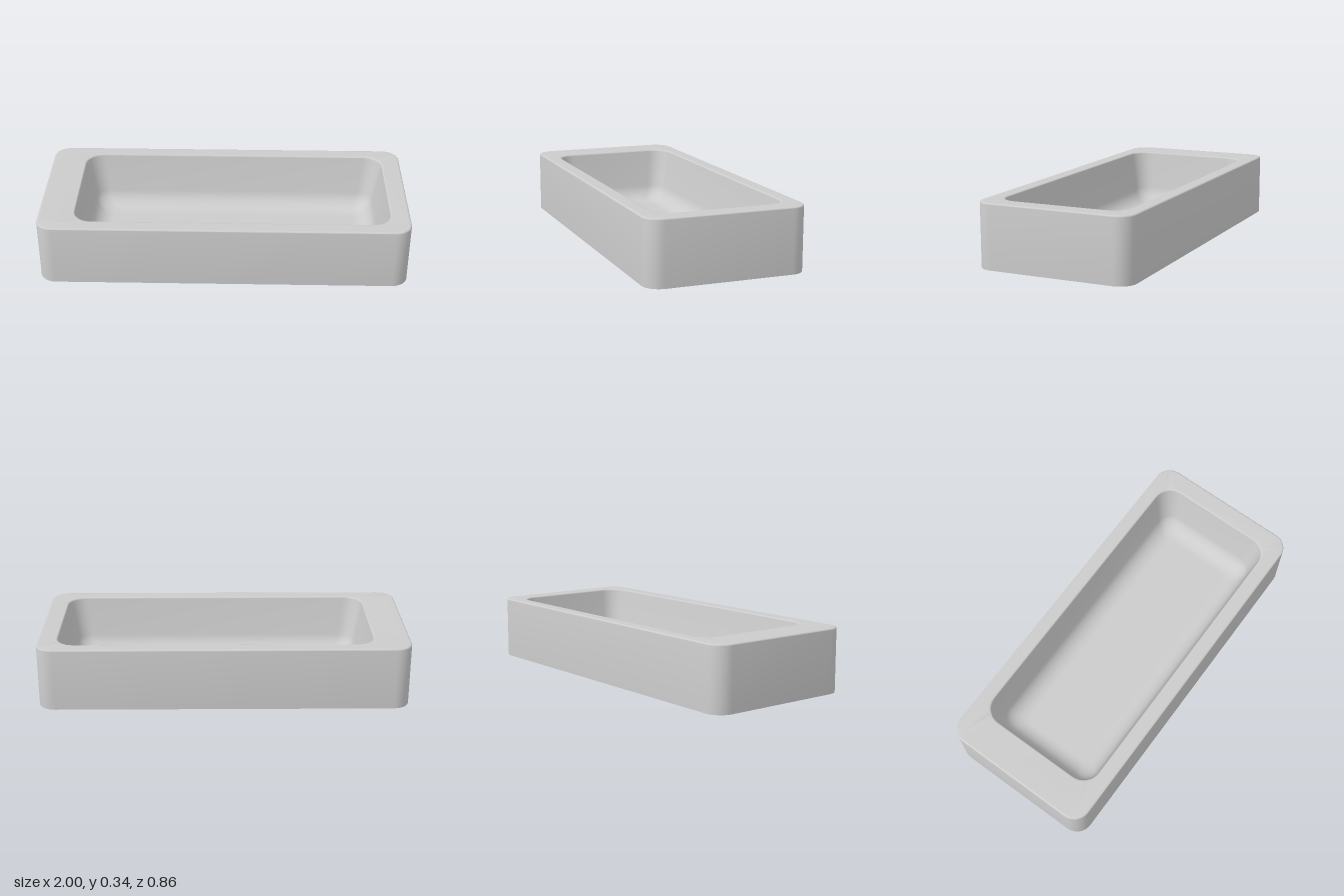
import * as THREE from 'three';
import { toCreasedNormals } from 'three/addons/utils/BufferGeometryUtils.js';

const CORNER = 8; // segments per rounded corner
const OUTER = { x0: -1, x1: 1, z0: -0.43, z1: 0.43, r: 0.09 };
const BASIN = { x0: -0.805, x1: 0.895, z0: -0.353, z1: 0.348, r: 0.1 };
const HEIGHT = 0.345, FLOOR = 0.04;

// Rounded rectangle at height y, moved inwards by inset
function ring(box, inset, y) {
  const r = box.r - inset * 0.4;
  const x0 = box.x0 + inset + r, x1 = box.x1 - inset - r;
  const z0 = box.z0 + inset + r, z1 = box.z1 - inset - r;
  const centres = [[x1, z1], [x0, z1], [x0, z0], [x1, z0]];
  return centres.flatMap(([cx, cz], k) => Array.from({ length: CORNER + 1 }, (_, i) => {
    const a = (k + i / CORNER) * Math.PI / 2;
    return [cx + r * Math.cos(a), y, cz + r * Math.sin(a)];
  }));
}

// Ring shrunk to one point, closing a flat end
function centre(box, y) {
  return Array.from({ length: 4 * (CORNER + 1) }, () => [(box.x0 + box.x1) / 2, y, (box.z0 + box.z1) / 2]);
}

// Skin joining successive rings, the first and last being single points
function loft(rings) {
  const n = rings[0].length, index = [];
  for (let i = 0; i < rings.length - 1; i++) {
    for (let j = 0; j < n; j++) {
      const a = i * n + j, b = i * n + (j + 1) % n;
      if (i > 0) index.push(a, a + n, b);
      if (i < rings.length - 2) index.push(b, a + n, b + n);
    }
  }
  const geometry = new THREE.BufferGeometry();
  geometry.setAttribute('position', new THREE.Float32BufferAttribute(rings.flat(2), 3));
  geometry.setIndex(index);
  return toCreasedNormals(geometry, THREE.MathUtils.degToRad(40));
}

export function createModel() {
  const group = new THREE.Group();
  group.name = 'basin';
  const rings = [centre(OUTER, 0), ring(OUTER, 0, 0)];

  // Small rounding on the outer top edge
  const edge = 0.008;
  for (let i = 0; i <= 4; i++) {
    const a = i / 4 * Math.PI / 2;
    rings.push(ring(OUTER, edge * (1 - Math.cos(a)), HEIGHT - edge * (1 - Math.sin(a))));
  }

  // Flat rim
  const lip = 0.008;
  rings.push(ring(OUTER, edge + 0.004, HEIGHT), ring(BASIN, -lip - 0.004, HEIGHT));

  // Rounded lip turning down into the basin
  for (let i = 0; i <= 4; i++) {
    const a = i / 4 * Math.PI / 2;
    rings.push(ring(BASIN, lip * (Math.sin(a) - 1), HEIGHT - lip * (1 - Math.cos(a))));
  }

  // Sloping wall and broad curve into the floor
  const radius = 0.11, reach = 0.15, slope = 0.2;
  for (let i = 0; i <= 10; i++) {
    const a = THREE.MathUtils.lerp(slope, Math.PI / 2, i / 10);
    rings.push(ring(BASIN, reach - radius * Math.cos(a), FLOOR + radius * (1 - Math.sin(a))));
  }

  // Flat floor
  rings.push(ring(BASIN, reach + 0.01, FLOOR), centre(BASIN, FLOOR));

  const body = new THREE.Mesh(loft(rings), new THREE.MeshStandardMaterial({ color: 0xcccccc }));
  body.name = 'basinBody';
  group.add(body);
  return group;
}
